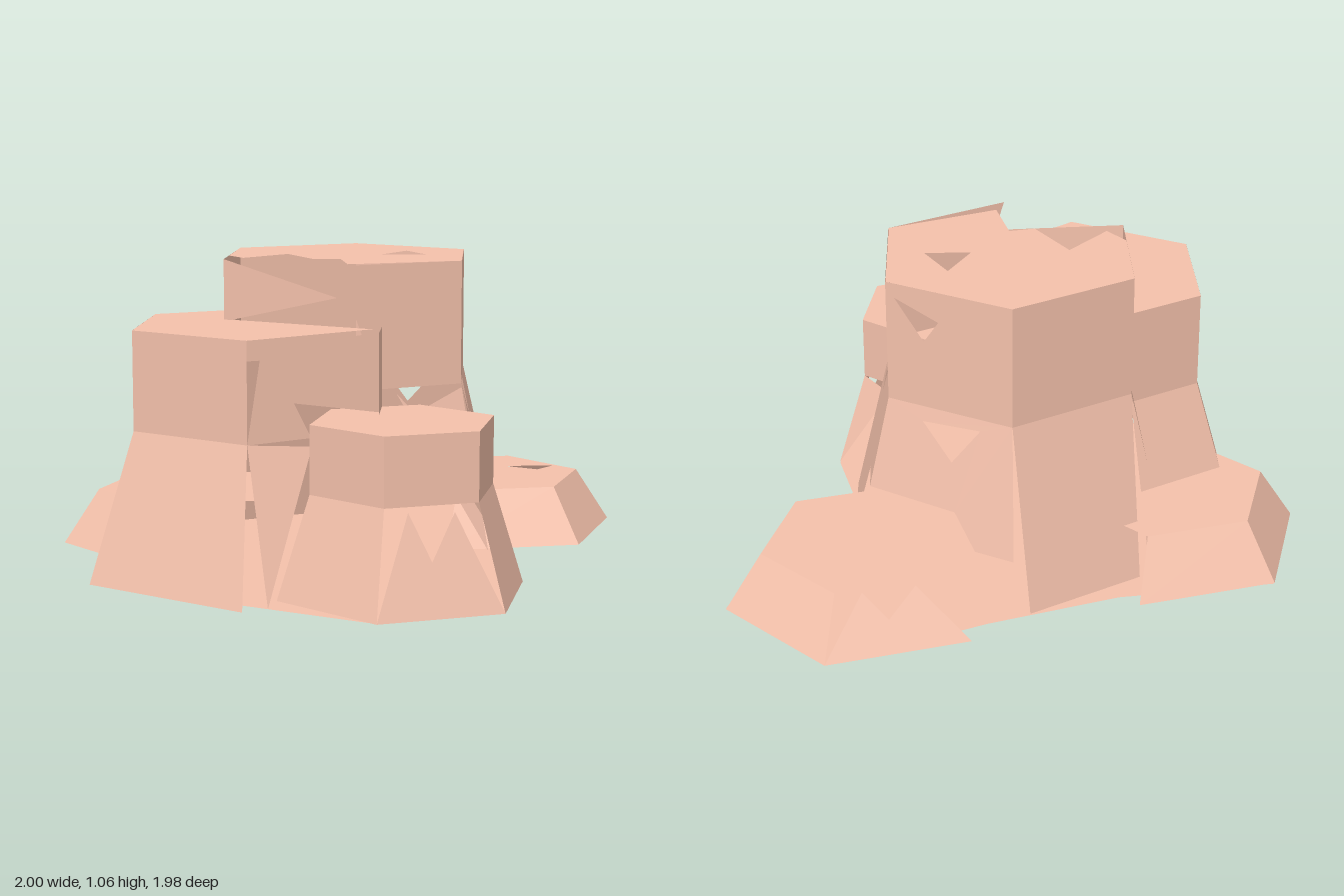
import * as THREE from 'three';

const BASE = 0.015;
const rock = new THREE.MeshStandardMaterial({
  color: 0xf4c1ab, flatShading: true, side: THREE.DoubleSide,
});

const toVectors = (pts) => pts.map(([a, b]) => new THREE.Vector2(a, b));

// Upright strip of a wall, from a to b across its width
const strip = (a, b) => ({ outline: [[a, 0], [b, 0], [b, 1], [a, 1]] });

// Broken wall: only a jagged lower stump is left
const stump = { outline: [[0, 0], [1, 0], [0.73, 0.93], [0.46, 0.5], [0.25, 0.95]] };

// Flat polygon with optional holes, as a geometry in its own 2D space
function sheet(points, holes = []) {
  const shape = new THREE.Shape(toVectors(points));
  holes.forEach((h) => shape.holes.push(new THREE.Path(toVectors(h))));
  return new THREE.ShapeGeometry(shape).toNonIndexed();
}

function addMesh(group, name, geometry) {
  geometry.computeVertexNormals();
  const mesh = new THREE.Mesh(geometry, rock);
  mesh.name = name;
  group.add(mesh);
}

// Stretch a unit sheet between four corners (left to right as seen from outside)
function panel({ outline, holes }, bl, br, tl, tr) {
  const geo = sheet(outline, holes);
  const pos = geo.attributes.position;
  const low = new THREE.Vector3(), high = new THREE.Vector3();
  for (let i = 0; i < pos.count; i++) {
    const u = pos.getX(i), v = pos.getY(i);
    low.lerpVectors(bl, br, u);
    high.lerpVectors(tl, tr, u);
    low.lerp(high, v);
    pos.setXYZ(i, low.x, low.y, low.z);
  }
  return geo;
}

// Horizontal sheet given by (x, z) points
function flat(points, y, holes = []) {
  const flip = (list) => list.map(([x, z]) => [x, -z]);
  const geo = sheet(flip(points), holes.map(flip));
  geo.rotateX(-Math.PI / 2);
  geo.translate(0, y, 0);
  return geo;
}

// Six-sided column: flared foot, straight shaft, flat cap.
// foot and shaft list damaged walls by index; 'open' walls are missing.
function column(name, { x, z, angle, r, footR, waist, top, foot = {}, shaft = {}, cap, capHoles }) {
  const group = new THREE.Group();
  group.name = name;
  const ring = (radius, y) => Array.from({ length: 6 }, (_, k) => {
    const a = THREE.MathUtils.degToRad(angle + 60 * k);
    return new THREE.Vector3(x + radius * Math.cos(a), y, z + radius * Math.sin(a));
  });
  const walls = (label, lower, upper, damage) => {
    for (let k = 0; k < 6; k++) {
      const n = (k + 1) % 6;
      if (damage[k] === 'open') continue;
      addMesh(group, label + k,
        panel({ ...strip(0, 1), ...damage[k] }, lower[n], lower[k], upper[n], upper[k]));
    }
  };
  const waistRing = ring(r, waist), topRing = ring(r, top);
  walls('footWall', ring(footR, BASE), waistRing, foot);
  if (top > waist) walls('shaftWall', waistRing, topRing, shaft);
  addMesh(group, 'cap', flat(cap ?? topRing.map((p) => [p.x, p.z]), top, capHoles));
  return group;
}

function tallColumn() {
  const foot = {
    0: { outline: [[0.47, 0.97], [0.95, 0.1], [1, 0.98], [0.6, 0.86]] },
    1: 'open',
    2: { outline: [[0, 1], [0.25, 0.5], [0.42, 0.97]] },
    3: { outline: [[0.1, 0], [0.8, 0], [1, 1], [0, 1]] },
    4: {
      outline: [[0, 0.5], [0.6, 0.48], [0.75, 0.3], [1, 0.3], [1, 1], [0, 1]],
      holes: [[[0.3, 0.92], [0.55, 0.74], [0.75, 0.94]]],
    },
    5: { outline: [[0, 0], [0.47, 0], [0.7, 0.48], [1, 0.5], [1, 1], [0.42, 1], [0.3, 0.78], [0.12, 1]] },
  };
  const shaft = {
    0: { outline: [[0.35, 0], [1, 0], [1, 1], [0, 1]] },
    1: { outline: [[0, 0.49], [1, 0.75], [0, 1]] },
    2: { outline: [[0, 0], [0.38, 0], [0.38, 0.5], [1, 0.5], [1, 1], [0, 1]] },
    4: { holes: [[[0.07, 0.88], [0.3, 0.56], [0.42, 0.75]]] },
  };
  // Cap with a torn front-left edge
  const cap = [[0.03, -0.57], [0.44, -0.333], [0.44, 0.143], [0.06, 0.305], [0.02, 0.1], [-0.07, 0.12],
    [-0.18, -0.08], [-0.32, 0.09], [-0.381, 0], [-0.381, -0.333]];
  const capHoles = [[[0.155, -0.09], [0.315, -0.09], [0.235, -0.25]]];
  return column('tallColumn', {
    x: 0.03, z: -0.095, angle: 30, r: 0.475, footR: 0.64, waist: 0.65, top: 1.075, foot, shaft, cap, capHoles,
  });
}

function middleColumn() {
  const foot = {
    0: { outline: [[0, 1], [0.14, 0], [0.48, 0.96]] },
    3: strip(0.4, 1), 4: 'open', 5: 'open',
  };
  const shaft = {
    0: { outline: [[0, 0], [0.48, 0.02], [0.35, 0.37], [1, 0.22], [1, 1], [0.11, 0.92]] },
    3: strip(0.35, 1), 4: 'open', 5: strip(0, 0.38),
  };
  const cap = [[-0.646, -0.003], [-0.646, 0.473], [-0.235, 0.71], [0.15, 0.38], [-0.381, 0.135], [-0.381, -0.155]];
  return column('middleColumn', {
    x: -0.235, z: 0.235, angle: 30, r: 0.475, footR: 0.64, waist: 0.525, top: 0.865, foot, shaft, cap,
  });
}

function frontColumn() {
  const foot = { 1: stump, 4: 'open', 5: { outline: [[0, 0], [0.4, 0.9], [0, 1]] } };
  return column('frontColumn', {
    x: 0.26, z: 0.56, angle: -22, r: 0.32, footR: 0.432, waist: 0.36, top: 0.59, foot,
  });
}

// Low stumps have no straight shaft
function lowStump(name, x, z, foot, capHoles) {
  return column(name, { x, z, angle: -15, r: 0.365, footR: 0.494, waist: 0.21, top: 0.21, foot, capHoles });
}

// Ground sheet joining the feet of the columns
function groundSheet(group) {
  const outline = [[0.65, -0.99], [1, -0.64], [0.87, -0.165], [0.545, -0.09], [0.66, 0.39],
    [0.6, 0.82], [0.2, 0.98], [-0.79, 0.555], [-0.79, 0.145], [-1, -0.06], [-0.87, -0.54],
    [-0.33, -0.61], [0.12, -0.76]];
  addMesh(group, 'groundSheet', flat(outline, BASE));
}

export function createModel() {
  const model = new THREE.Group();
  model.name = 'rockColumns';
  model.add(
    tallColumn(),
    middleColumn(),
    frontColumn(),
    lowStump('backStump', 0.522, -0.513, { 2: 'open', 3: 'open', 4: stump },
      [[[0.605, -0.647], [0.79, -0.675], [0.727, -0.588]]]),
    lowStump('sideStump', -0.525, -0.185, { 0: 'open', 1: 'open', 5: 'open' }),
  );
  groundSheet(model);
  return model;
}
